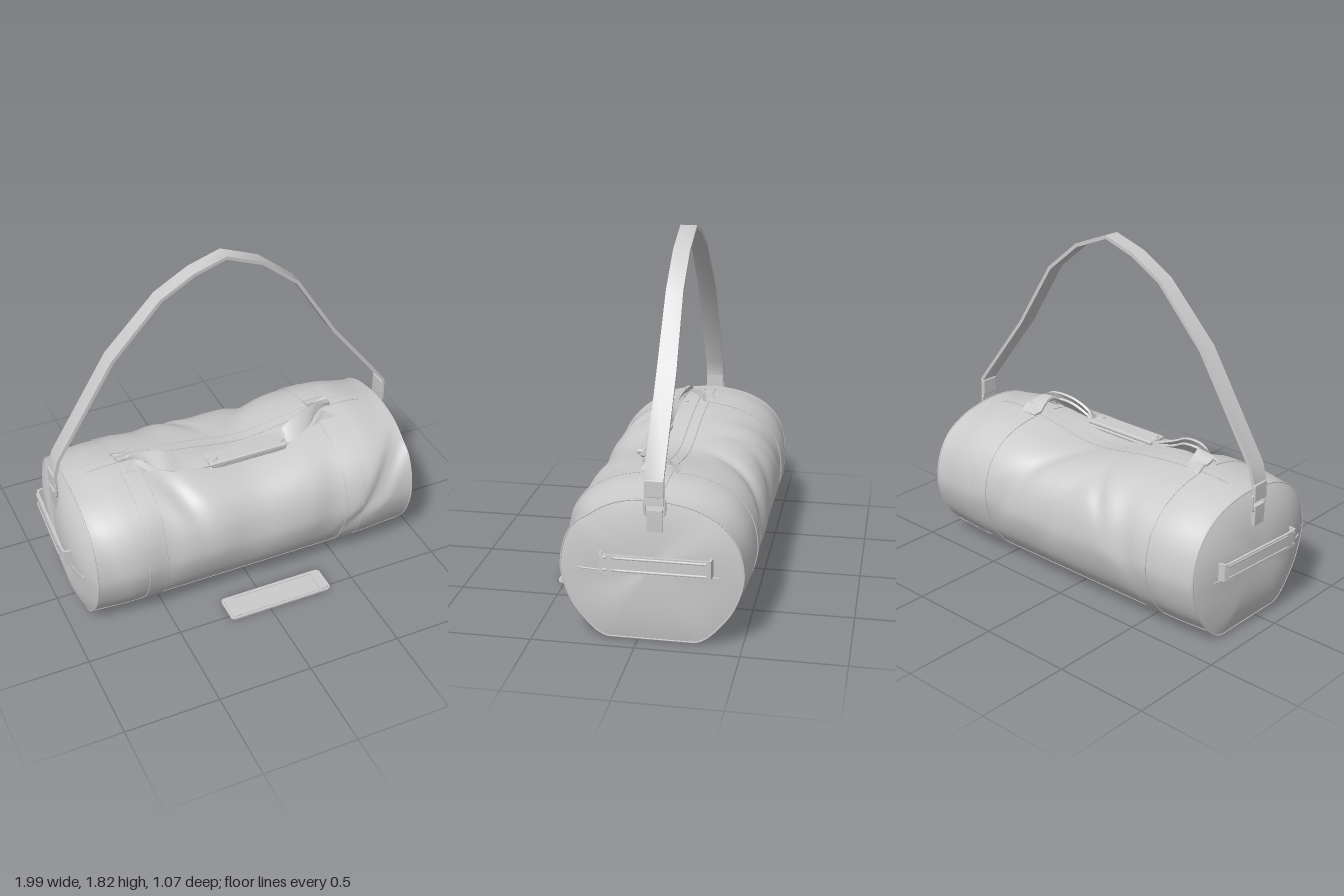
import * as THREE from 'three';
import { toCreasedNormals } from 'three/addons/utils/BufferGeometryUtils.js';
import { RoundedBoxGeometry } from 'three/addons/geometries/RoundedBoxGeometry.js';

const V = (x, y, z) => new THREE.Vector3(x, y, z);
const material = new THREE.MeshStandardMaterial({ color: 0xcccccc, roughness: 0.8, side: THREE.DoubleSide });
const CZ = -0.067, CY = 0.38, X0 = -0.88, X1 = 0.918;
const bell = (v, c, w) => Math.exp(-(((v - c) / w) ** 2));
const steps = (n, f) => Array.from({ length: n + 1 }, (_, i) => f(i / n));

// Half profile of the bag (offset from the centre line, height), mirrored front to back
const half = [[0.325, 0.08], [0.402, 0.18], [0.45, 0.3], [0.462, 0.39], [0.433, 0.53],
  [0.36, 0.635], [0.24, 0.705], [0.1, 0.738], [0, 0.745]];
const upper = new THREE.CatmullRomCurve3([
  ...half.map(([d, y]) => V(0, y, d)),
  ...half.slice(0, -1).reverse().map(([d, y]) => V(0, y, -d))]);
const lower = [[-0.325, 0.08], [-0.285, 0.042], [-0.25, 0.021], [-0.215, 0.012],
  [0.215, 0.012], [0.25, 0.021], [0.285, 0.042], [0.325, 0.08]];

// Soft creases in the cloth: x, width, u, height, slant, depth
const creases = [
  [-0.5, 0.08, 0.2, 0.16, 0.2, 0.016], [-0.02, 0.15, 0.2, 0.15, 0.3, 0.022],
  [0.44, 0.09, 0.2, 0.15, 0.2, 0.02], [-0.36, 0.06, 0.33, 0.08, -0.8, 0.026],
  [0.7, 0.04, 0.22, 0.14, 1.4, 0.026], [0.83, 0.035, 0.27, 0.12, 1.4, 0.022],
  [-0.8, 0.05, 0.2, 0.15, -0.5, 0.01], [0.35, 0.09, 0.78, 0.13, 0.8, 0.028],
  [0, 0.08, 0.78, 0.15, 0.8, 0.016], [-0.45, 0.08, 0.78, 0.15, -0.6, 0.018],
  [0.2, 0.05, 0.66, 0.08, 1.2, 0.018], [-0.2, 0.05, 0.68, 0.08, -1.2, 0.018]];

// Narrow the bag towards its ends, the right one sagging a little more
function taper(x, p) {
  const t = THREE.MathUtils.smoothstep(Math.abs(x), 0.66, 0.93);
  return V(x, 0.012 + (p.y - 0.012) * (1 - (x > 0 ? 0.045 : 0.033) * t), CZ + p.z * (1 - 0.06 * t));
}

// Point on the soft upper shell: u runs from front seam over the top to back seam
function shell(x, u, lift = 0) {
  const p = upper.getPoint(u);
  const fade = Math.sqrt(Math.max(0, Math.sin(Math.PI * u)));
  let fold = 0.003 * Math.sin(9 * x + 14 * u) + 0.002;
  for (const [cx, w, cu, h, slant, depth] of creases) {
    fold -= depth * bell(x - slant * (u - cu), cx, w) * bell(u, cu, h);
  }
  const dir = V(0, p.y - CY, p.z).normalize();
  p.addScaledVector(dir, fold * fade + lift);
  p.y -= 0.072 * bell(x, 0.1, 0.3) * bell(u, 0.5, 0.16);
  return taper(x, p);
}

// Surface through equal rows of points
function loft(rows) {
  const n = rows[0].length, index = [];
  for (let i = 0; i < rows.length - 1; i++) {
    for (let j = 0; j < n - 1; j++) {
      const a = i * n + j, b = a + n;
      index.push(a, b, a + 1, b, b + 1, a + 1);
    }
  }
  const g = new THREE.BufferGeometry().setFromPoints(rows.flat());
  g.setIndex(index);
  g.computeVertexNormals();
  return g;
}

const patch = (x0, x1, u0, u1, lift, nx, nu) =>
  loft(steps(nx, a => steps(nu, b => shell(x0 + (x1 - x0) * a, u0 + (u1 - u0) * b, lift))));

// Flat webbing: stations are [centre, half-width vector]
function ribbon(stations, thick, samples = 0) {
  let pts = stations.map(s => s[0]), wide = stations.map(s => s[1]);
  if (samples) {
    const c = new THREE.CatmullRomCurve3(pts), w = new THREE.CatmullRomCurve3(wide);
    pts = steps(samples, t => c.getPoint(t));
    wide = steps(samples, t => w.getPoint(t));
  }
  const rows = pts.map((p, i) => {
    const tangent = pts[Math.min(i + 1, pts.length - 1)].clone().sub(pts[Math.max(i - 1, 0)]);
    const n = tangent.cross(wide[i]).normalize().multiplyScalar(thick / 2);
    return [[1, 1], [-1, 1], [-1, -1], [1, -1], [1, 1]].map(([a, b]) =>
      p.clone().addScaledVector(wide[i], a).addScaledVector(n, b));
  });
  // Collapsed rows close both ends
  const cap = r => r.map(() => r[0].clone().add(r[2]).multiplyScalar(0.5));
  return toCreasedNormals(loft([cap(rows[0]), ...rows, cap(rows[rows.length - 1])]), 0.7);
}

function roundedPlate(w, d, h, r) {
  const s = new THREE.Shape(), a = w / 2 - r, b = d / 2 - r;
  s.absarc(a, b, r, 0, Math.PI / 2);
  s.absarc(-a, b, r, Math.PI / 2, Math.PI);
  s.absarc(-a, -b, r, Math.PI, Math.PI * 1.5);
  s.absarc(a, -b, r, Math.PI * 1.5, Math.PI * 2);
  return new THREE.ExtrudeGeometry(s, { depth: h, bevelEnabled: false, curveSegments: 6 }).rotateX(-Math.PI / 2);
}

export function createModel() {
  const model = new THREE.Group();
  const add = (name, geometry, x = 0, y = 0, z = 0) => {
    const m = new THREE.Mesh(geometry, material);
    m.name = name;
    m.position.set(x, y, z);
    model.add(m);
  };
  const tube = (pts, r, closed = false, n = 80) => new THREE.TubeGeometry(
    new THREE.CatmullRomCurve3(pts, closed, 'catmullrom', 0.1), n, r, 6, closed);

  // Bag body and base panel
  add('bagBody', patch(X0, X1, 0, 1, 0, 120, 90));
  const basePoint = x => lower.map(([d, y]) => taper(x, V(0, y, d)));
  add('basePanel', toCreasedNormals(loft(steps(24, t => basePoint(X0 + (X1 - X0) * t))), 0.6));
  for (const u of [0, 1]) add('baseSeam', tube(steps(20, t => shell(X0 + (X1 - X0) * t, u)), 0.003));

  // Domed ends with piping, fuller to the front on the right and to the back on the left
  for (const [side, xe, bulge, xBack] of [[-1, X0, 0.072, 0.958], [1, X1, 0.031, 0.986]]) {
    const rim = [...steps(64, u => shell(xe, u)), ...basePoint(xe).slice(1)];
    const domeX = (s, z) => xe + side * bulge * (1 - s ** 3) * (1 - side * 0.5 * (z - CZ));
    add('endPanel', loft(steps(16, t => rim.map(p => {
      const s = 1 - t, z = CZ + (p.z - CZ) * s;
      const dent = 0.02 * s * t * Math.sin(9 * p.y + 7 * p.z);
      return V(domeX(s, z) + side * dent, CY + (p.y - CY) * s, z);
    }))));
    add('endPiping', tube(rim.slice(0, -1), 0.004, true, 140));

    // End grab handle with its ribs and the seam below it
    const onEnd = z => domeX(Math.abs(z - CZ) / 0.435, z);
    const outer = z => side * (0.988 + (xBack - 0.988) * (0.16 - z) / 0.52);
    const up = V(0, 0.045, 0);
    add('endHandle', ribbon([[onEnd(0.165) - side * 0.006, 0.165], [outer(0.16) - side * 0.006, 0.16],
      ...[0.13, -0.1, -0.33].map(z => [outer(z), z]),
      [outer(-0.355) - side * 0.006, -0.355], [onEnd(-0.36) - side * 0.006, -0.36]]
      .map(([x, z]) => [V(x, 0.415, z), up]), 0.012));
    for (const y of [0.385, 0.447]) {
      add('endHandleRib', tube([0.145, -0.34].map(z => V(outer(z) + side * 0.003, y, z)), 0.008, false, 8));
    }
    add('endSeam', tube(steps(20, t => {
      const z = 0.28 - 0.67 * t;
      return V(onEnd(z) + side * 0.003, 0.362, z);
    }), 0.004));

    // Shoulder strap anchor: tab and metal ring
    const xa = side * 0.937;
    add('strapTab', ribbon([[xa - side * 0.004, 0.57], [xa, 0.63], [xa, 0.675]]
      .map(([x, y]) => [V(x, y, -0.09), V(0, 0, 0.036)]), 0.024));
    add('strapRing', tube([V(xa, 0.655, -0.045), V(xa, 0.73, -0.045),
      V(xa, 0.73, -0.135), V(xa, 0.655, -0.135)], 0.007, true));
    add('strapSleeve', new RoundedBoxGeometry(0.024, 0.09, 0.096, 2, 0.008),
      side * 0.938, side > 0 ? 0.78 : 0.745, -0.088);
  }

  // Zip with its seams
  add('zipTape', patch(-0.78, 0.8, 0.494, 0.53, 0.002, 60, 6));
  for (const u of [0.494, 0.53]) {
    add('zipSeam', tube(steps(40, t => shell(-0.78 + 1.58 * t, u, 0.002)), 0.003));
  }

  // Webbing bands and carry handles
  const gripX = 0.06;
  for (const s of [-1, 1]) {
    for (const [u0, u1] of [[0, 0.46], [0.545, 1]]) {
      add('webbingBand', patch(s * 0.51, s * 0.61, u0, u1, 0.004, 6, 40));
      for (const x of [0.51, 0.61]) {
        add('bandEdge', tube(steps(30, t => shell(s * x, u0 + (u1 - u0) * t, 0.002)), 0.003));
      }
    }
    const end = V(gripX + s * 0.2, 0.707, 0.075);
    const station = ([x, y, z, a, b, c]) => [V(s * x, y, z), V(a, s * b, s * c)];
    add('rearCarryStrap', ribbon([...[
      [0.56, 0.738, -0.15, 0.05, 0, 0], [0.562, 0.768, -0.08, 0.05, 0, 0],
      [0.555, 0.795, -0.025, 0.05, -0.012, 0], [0.49, 0.795, 0.02, 0.03, 0.035, -0.024],
      [0.39, 0.775, 0.055, 0.006, 0.043, -0.033], [0.3, 0.738, 0.072, 0, 0.033, -0.033]].map(station),
      [end, V(0, s * 0.004, s * -0.04)]], 0.012, 40));
    add('frontCarryStrap', ribbon([...[
      [0.555, 0.742, 0.035, 0.045, 0, 0], [0.5, 0.762, 0.035, 0.03, 0.025, -0.024],
      [0.39, 0.755, 0.045, 0.006, 0.036, -0.03],
      [0.3, 0.722, 0.062, 0, 0.025, -0.03]].map(station),
      [end.clone().setY(0.698), V(0, s * 0.004, s * -0.04)]], 0.012, 40));
    add('gripSnap', new THREE.CylinderGeometry(0.022, 0.026, 0.01, 20), gripX + s * 0.19, 0.73, 0.085);
  }

  // Wrapped grip
  add('gripUpper', new RoundedBoxGeometry(0.44, 0.022, 0.11, 3, 0.009), gripX, 0.716, 0.075);
  add('gripLower', new RoundedBoxGeometry(0.43, 0.018, 0.1, 3, 0.008), gripX, 0.692, 0.075);
  add('gripFold', new THREE.CapsuleGeometry(0.013, 0.4, 4, 10).rotateZ(Math.PI / 2), gripX, 0.706, 0.117);

  // Shoulder strap
  add('shoulderStrap', ribbon([[-0.935, 0.7], [-0.938, 0.77], [-0.912, 0.87], [-0.6, 1.38], [-0.335, 1.66],
    [-0.16, 1.76], [0.01, 1.815], [0.21, 1.735], [0.4, 1.58], [0.62, 1.235], [0.94, 0.83], [0.94, 0.7]]
    .map(([x, y], i) => [V(x, y, -0.087), V(0, 0, i > 3 && i < 9 ? 0.042 : 0.047)]), 0.018));

  // Loose wrap lying on the ground in front
  add('looseWrap', roundedPlate(0.58, 0.16, 0.01, 0.025), 0.07, 0, 0.455);
  for (const s of [-1, 1]) {
    add('looseWrapEnd', roundedPlate(0.05, 0.14, 0.007, 0.015), 0.07 + s * 0.255, 0.009, 0.455);
    add('looseWrapHem', new THREE.BoxGeometry(0.47, 0.005, 0.01), 0.07, 0.011, 0.455 + s * 0.064);
  }
  return model;
}
